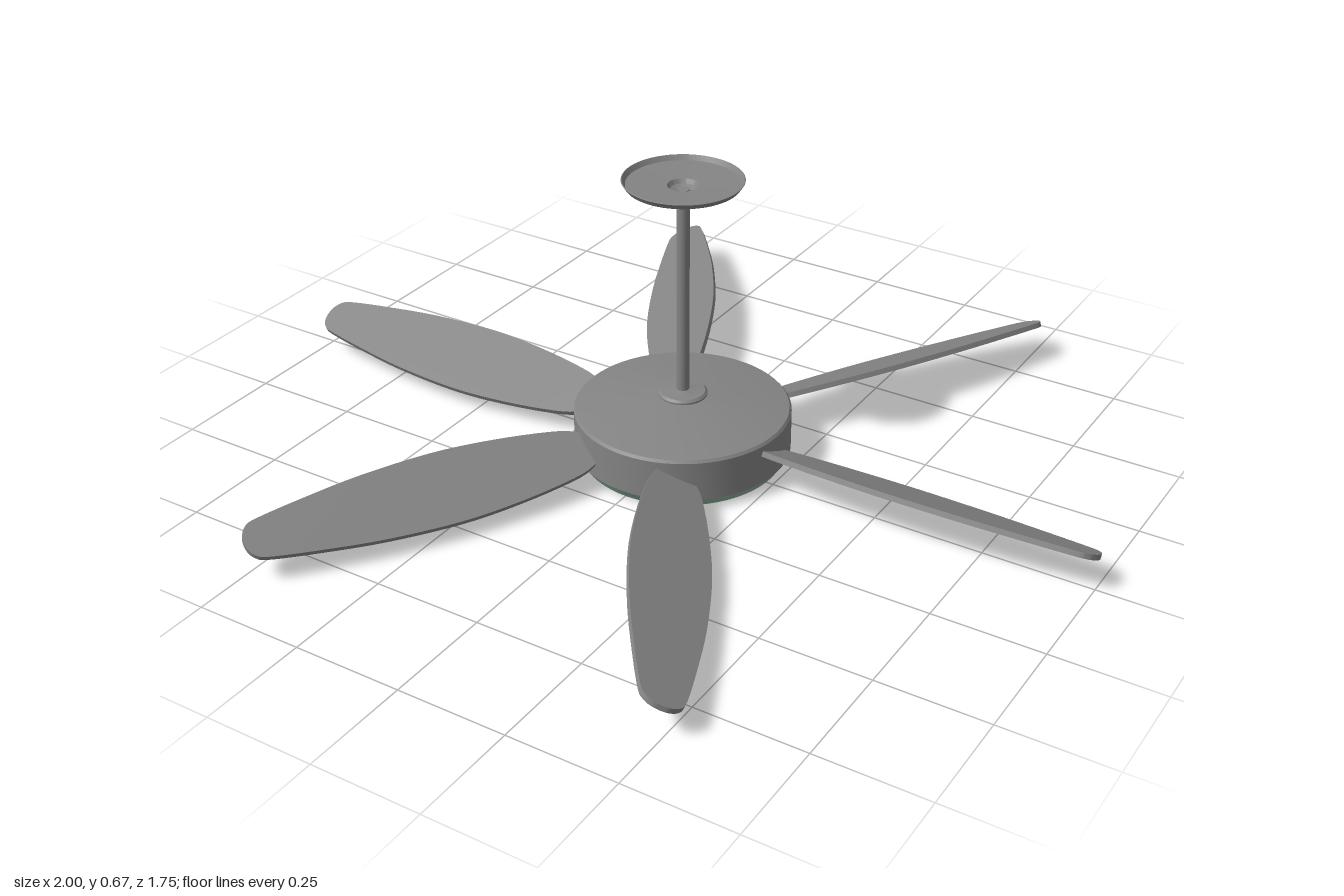
import * as THREE from 'three';
import { toCreasedNormals } from 'three/addons/utils/BufferGeometryUtils.js';

const grey = new THREE.MeshStandardMaterial({ color: 0x848484, side: THREE.DoubleSide });
const green = new THREE.MeshStandardMaterial({ color: 0x8fae9a, side: THREE.DoubleSide });

// Revolved part from [radius, height] pairs, listed from the bottom up
function turned(name, profile, material = grey) {
  const points = profile.map(([r, y]) => new THREE.Vector2(r, y));
  const mesh = new THREE.Mesh(toCreasedNormals(new THREE.LatheGeometry(points, 64), 0.35), material);
  mesh.name = name;
  return mesh;
}

// Leaf-shaped blade lying along +x, with a narrow root and a blunt rounded tip
function bladeGeometry() {
  const edge = [
    [0.222, 0.042], [0.27, 0.061], [0.4, 0.081], [0.55, 0.091], [0.72, 0.083],
    [0.86, 0.065], [0.96, 0.048], [0.986, 0.037], [0.999, 0.015],
  ];
  const upper = edge.map(([x, y]) => new THREE.Vector2(x, y));
  const lower = edge.map(([x, y]) => new THREE.Vector2(x, -y)).reverse();
  const outline = new THREE.SplineCurve([...upper, ...lower]).getPoints(72);
  const thickness = 0.012;
  const geometry = new THREE.ExtrudeGeometry(new THREE.Shape(outline), {
    depth: thickness, bevelEnabled: false,
  });
  geometry.translate(0, 0, -thickness / 2);
  geometry.rotateX(-Math.PI / 2);
  return toCreasedNormals(geometry, 0.6);
}

export function createModel() {
  const fan = new THREE.Group();
  fan.name = 'ceilingFan';

  // Motor, rod and ceiling mount share one axis
  const core = new THREE.Group();
  core.name = 'core';
  core.position.set(0.009, 0, -0.013);
  fan.add(core);

  core.add(turned('lightCover', [[0, 0], [0.222, 0], [0.228, 0.004], [0.243, 0.026]], green));
  core.add(turned('motorHousing', [
    [0.243, 0.026], [0.243, 0.118], [0.238, 0.124], [0.06, 0.153], [0, 0.153],
  ]));
  core.add(turned('rodCollar', [
    [0.055, 0.148], [0.055, 0.157], [0.05, 0.162], [0.026, 0.163], [0.0145, 0.166],
  ]));

  const rod = new THREE.Mesh(new THREE.CylinderGeometry(0.0145, 0.0145, 0.5, 24), grey);
  rod.name = 'downRod';
  rod.position.y = 0.4;
  core.add(rod);

  // Shallow dish, open at the top, with a flat floor and a funnel round the rod
  core.add(turned('ceilingMount', [
    [0.0145, 0.637], [0.024, 0.638], [0.034, 0.646], [0.05, 0.653], [0.124, 0.66],
    [0.132, 0.672], [0.13, 0.673], [0.123, 0.662], [0.034, 0.659], [0.028, 0.65], [0.0145, 0.644],
  ]));

  // Six pitched blades
  const geometry = bladeGeometry();
  for (let i = 0; i < 6; i++) {
    const arm = new THREE.Group();
    arm.name = `bladeArm${i + 1}`;
    arm.position.y = 0.077;
    arm.rotation.y = (i * Math.PI) / 3;
    const blade = new THREE.Mesh(geometry, grey);
    blade.name = 'blade';
    blade.position.z = -0.005;
    blade.rotation.x = -0.45;
    arm.add(blade);
    fan.add(arm);
  }
  return fan;
}
